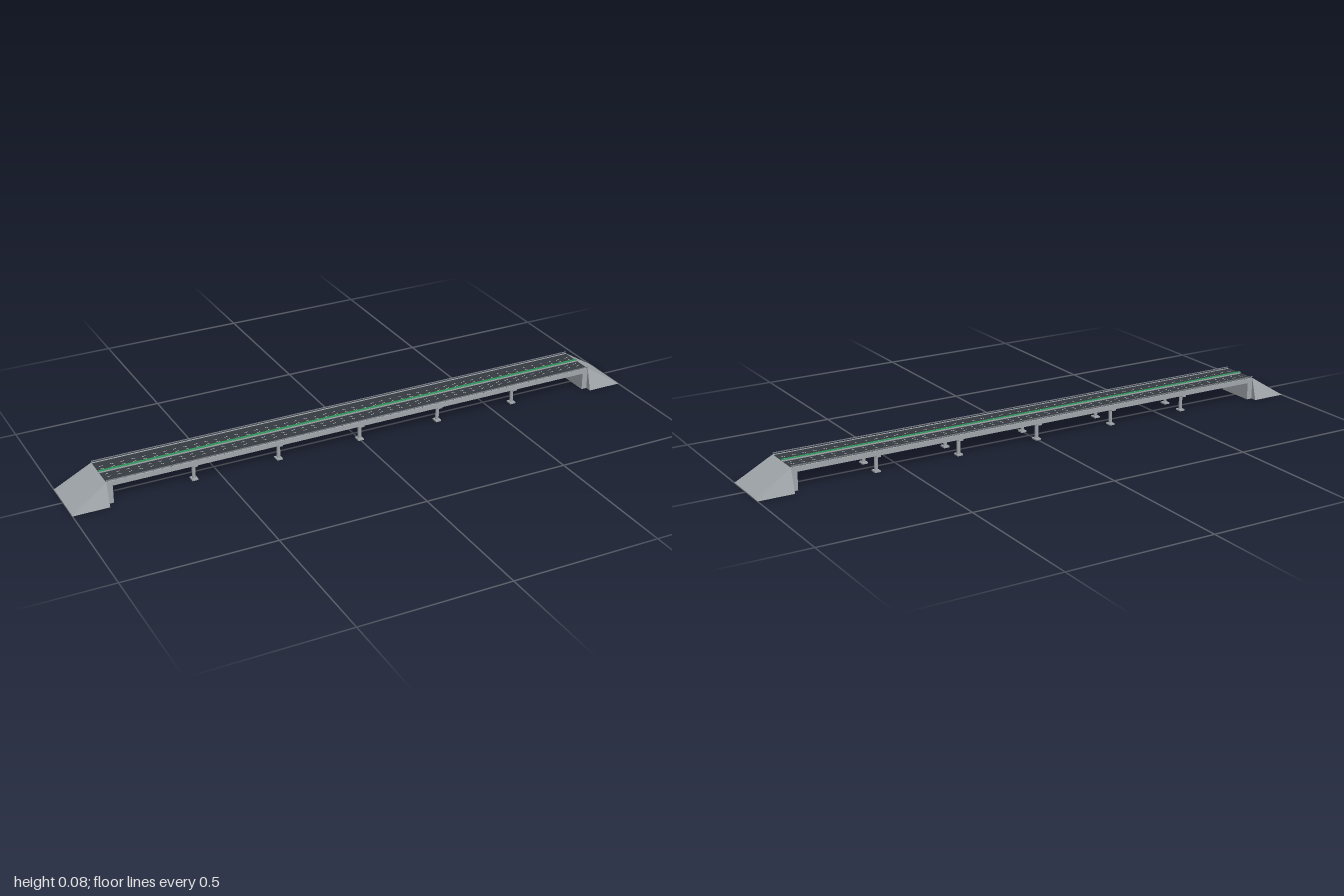
import * as THREE from 'three';

const flat = (name, color) => {
  const m = new THREE.MeshStandardMaterial({ color });
  m.name = name;
  return m;
};

export function createModel() {
  const model = new THREE.Group();
  model.name = 'roadBridge';
  const concrete = flat('concrete', 0xa1a7ac);
  const asphalt = flat('asphalt', 0x363b42);
  const steel = flat('steel', 0x777c81);
  const paint = flat('lanePaint', 0xe4e6e4);
  const grass = flat('medianGreen', 0x2f9a5c);

  // box given by its centre in x and z and its lower and upper height
  const box = (name, mat, parent, w, d, y0, y1, x = 0, z = 0) => {
    const mesh = new THREE.Mesh(new THREE.BoxGeometry(w, y1 - y0, d), mat);
    mesh.position.set(x, (y0 + y1) / 2, z);
    mesh.name = name;
    parent.add(mesh);
    return mesh;
  };

  // many equal boxes along the span
  const row = (name, mat, size, count, span, y, z) => {
    const inst = new THREE.Group();
    inst.name = name + 'Row';
    for (let i = 0; i < count; i++) {
      const x = -span / 2 + (span * i) / (count - 1);
      box(name, mat, inst, size[0], size[2], y, y + size[1], x, z);
    }
    model.add(inst);
  };

  // deck and carriageway
  const L = 1.76;
  box('deck', concrete, model, L, 0.14, 0.06, 0.074);
  box('roadSurface', asphalt, model, L, 0.13, 0.074, 0.0755);

  // central median with planted top
  box('median', concrete, model, L, 0.01, 0.075, 0.08);
  box('medianPlanting', grass, model, L, 0.008, 0.08, 0.082);

  // lane dashes
  for (const z of [-0.036, -0.019, 0.019, 0.036]) {
    row('laneDash', paint, [0.012, 0.0005, 0.0014], 50, L - 0.04, 0.0755, z);
  }

  // kerbs and guard rails on both sides
  for (const s of [-1, 1]) {
    box('kerb', concrete, model, L, 0.005, 0.074, 0.0765, 0, s * 0.0675);
    row('railPost', steel, [0.002, 0.006, 0.002], 60, L - 0.01, 0.0765, s * 0.069);
    box('guardRail', steel, model, L, 0.0025, 0.0797, 0.0825, 0, s * 0.069);
  }

  // piers: two columns on footings under a cap beam
  for (const x of [-0.586, -0.293, 0, 0.293, 0.586]) {
    const pier = new THREE.Group();
    pier.name = 'pier';
    pier.position.x = x;
    box('capBeam', concrete, pier, 0.016, 0.13, 0.053, 0.06);
    for (const z of [-0.045, 0.045]) {
      const col = new THREE.Mesh(new THREE.CylinderGeometry(0.006, 0.006, 0.048, 12), concrete);
      col.name = 'column';
      col.position.set(0, 0.029, z);
      pier.add(col);
      box('footing', concrete, pier, 0.02, 0.024, 0, 0.005, 0, z);
    }
    model.add(pier);
  }

  // approach ramp with spreading side slopes, and the wall carrying the deck end
  const T = 0.0765;
  const corners = [
    [0.88, T, 0.07], [0.88, T, -0.07], // 0 1 crest
    [1, 0.001, 0.07], [1, 0.001, -0.07], // 2 3 ramp toe
    [0.88, 0, 0.092], [0.88, 0, -0.092], // 4 5 inner base
    [1, 0, 0.092], [1, 0, -0.092], // 6 7 outer base
  ];
  const faces = [
    0, 2, 3, 0, 3, 1, // ramp
    0, 4, 6, 0, 6, 2, // front slope
    1, 7, 5, 1, 3, 7, // back slope
    0, 1, 5, 0, 5, 4, // inner end
    4, 5, 7, 4, 7, 6, // base
    2, 6, 7, 2, 7, 3, // toe
  ];
  const rampGeo = new THREE.BufferGeometry();
  rampGeo.setAttribute('position',
    new THREE.Float32BufferAttribute(faces.flatMap((i) => corners[i]), 3));
  rampGeo.computeVertexNormals();
  for (const turn of [0, Math.PI]) {
    const abutment = new THREE.Group();
    abutment.name = turn ? 'rightAbutment' : 'leftAbutment';
    const ramp = new THREE.Mesh(rampGeo, concrete);
    ramp.name = 'ramp';
    abutment.add(ramp);
    box('bearingWall', concrete, abutment, 0.02, 0.14, 0, 0.06, 0.87);
    abutment.rotation.y = turn;
    model.add(abutment);
  }
  return model;
}
